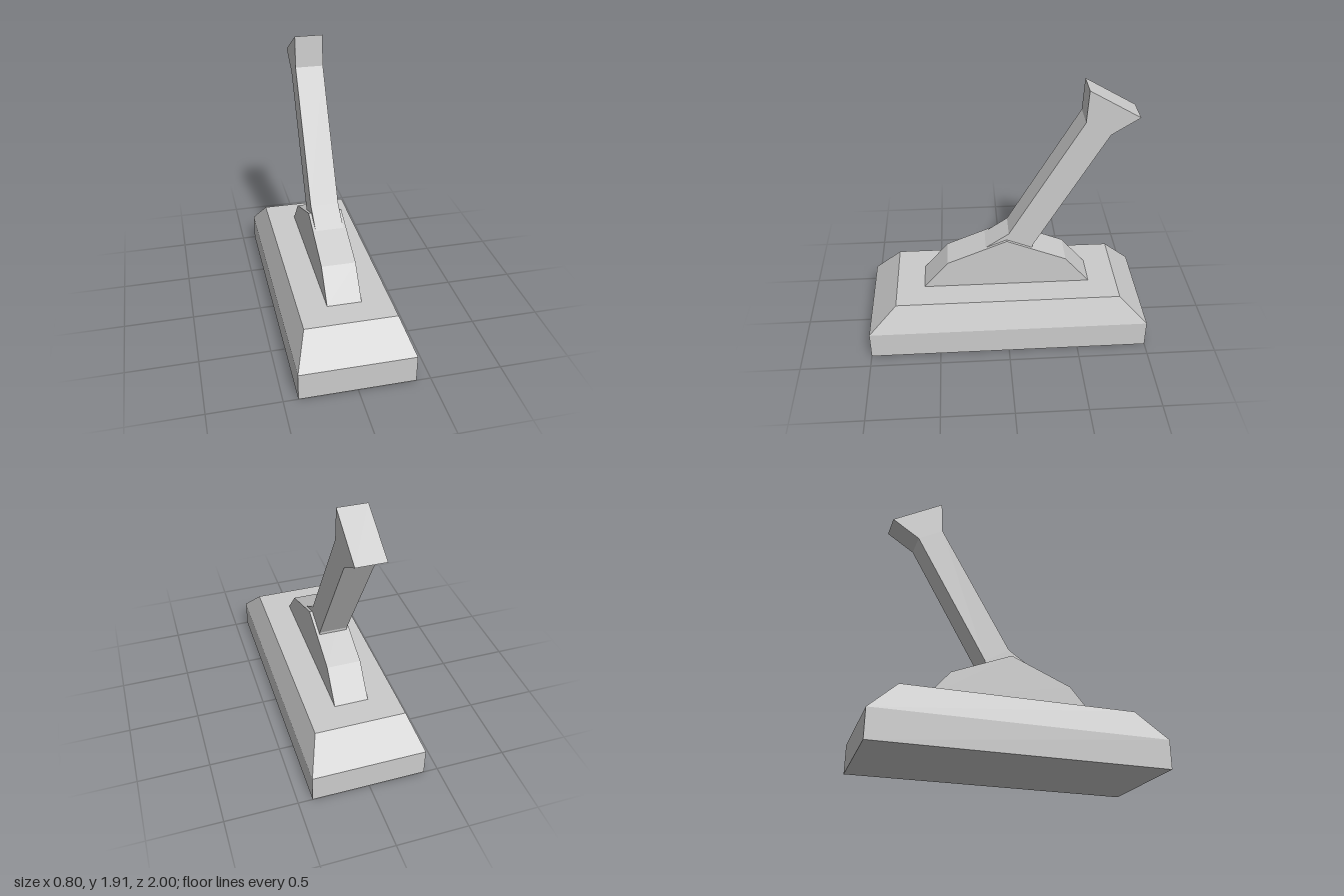
import * as THREE from 'three';

const material = new THREE.MeshStandardMaterial({ color: 0xcccccc, flatShading: true });

// Side profile of [z, y] points, extruded across x and centred on x = 0
function profilePart(name, points, width) {
  const shape = new THREE.Shape(points.map(([z, y]) => new THREE.Vector2(-z, y)));
  const geometry = new THREE.ExtrudeGeometry(shape, { depth: width, bevelEnabled: false });
  geometry.translate(0, 0, -width / 2).rotateY(Math.PI / 2);
  const mesh = new THREE.Mesh(geometry, material);
  mesh.name = name;
  return mesh;
}

// Block with straight lower walls and a tapered upper half
function createBase() {
  const geometry = new THREE.BoxGeometry(0.8, 0.4, 2, 1, 2, 1).translate(0, 0.2, 0);
  const p = geometry.attributes.position;
  for (let i = 0; i < p.count; i++) {
    if (p.getY(i) > 0.3) p.setXYZ(i, p.getX(i) * 0.8, 0.4, p.getZ(i) * 0.8);
  }
  geometry.computeVertexNormals();
  const mesh = new THREE.Mesh(geometry, material);
  mesh.name = 'base';
  return mesh;
}

export function createModel() {
  const model = new THREE.Group();
  model.name = 'leverSwitch';

  const mount = profilePart('mount', [
    [0.6, 0.4], [0.425, 0.605], [0, 0.78], [-0.425, 0.605], [-0.6, 0.4],
  ], 0.24);

  // Leaning handle with a flared tip, its foot sunk into the mount
  const lever = profilePart('lever', [
    [0.15, 0.718], [-0.015, 0.83], [-0.515, 1.69], [-0.527, 1.915],
    [-0.873, 1.715], [-0.685, 1.595], [-0.185, 0.725], [-0.18, 0.68], [0.1, 0.68],
  ], 0.2);

  model.add(createBase(), mount, lever);
  return model;
}
